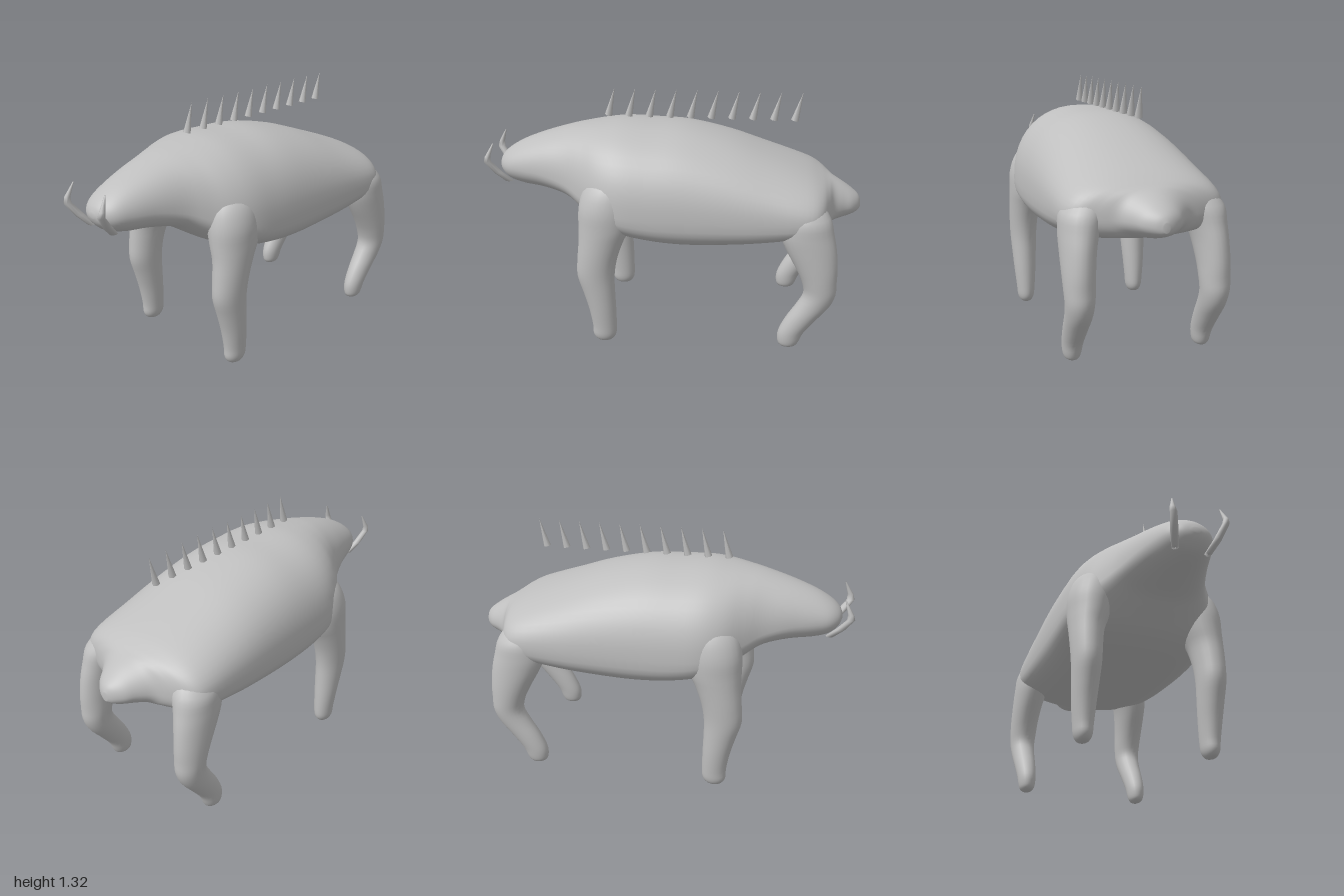
import * as THREE from 'three';

// Smoothly interpolates each column of a table of stations
function resample(rows, n) {
  const curves = rows[0].map((_, c) => new THREE.SplineCurve(rows.map(r => new THREE.Vector2(r[c], 0))));
  return Array.from({ length: n + 1 }, (_, i) => curves.map(c => c.getPoint(i / n).x));
}

// Closed skin over rings of points, with a centre point at each end
function skin(rings) {
  const n = rings[0].length, pos = [], idx = [];
  rings.forEach(r => r.forEach(p => pos.push(...p)));
  for (let i = 0; i < rings.length - 1; i++) {
    for (let j = 0; j < n; j++) {
      const k = (j + 1) % n, a = i * n + j, b = i * n + k, c = a + n, d = b + n;
      idx.push(a, b, d, a, d, c);
    }
  }
  const centre = r => [0, 1, 2].map(k => r.reduce((s, p) => s + p[k], 0) / n);
  const last = rings.length - 1, start = rings.length * n;
  pos.push(...centre(rings[0]), ...centre(rings[last]));
  for (let j = 0; j < n; j++) {
    const k = (j + 1) % n;
    idx.push(start, k, j, start + 1, last * n + j, last * n + k);
  }
  const g = new THREE.BufferGeometry();
  g.setAttribute('position', new THREE.Float32BufferAttribute(pos, 3));
  g.setIndex(idx);
  g.computeVertexNormals();
  return g;
}

const pow = (v, e) => Math.sign(v) * Math.abs(v) ** (2 / e);

// Body ring: separate upper and lower superellipse halves
function bodyRing([z, top, bottom, mid, w, e]) {
  return Array.from({ length: 48 }, (_, j) => {
    const a = j / 48 * Math.PI * 2, s = Math.sin(a);
    const ex = s >= 0 ? Math.min(e, 2.25) : e;
    return [w * pow(Math.cos(a), ex), mid + pow(s, ex) * (s >= 0 ? top - mid : mid - bottom), z];
  });
}

// Level elliptical ring for legs and tusks
function levelRing([y, x, z, rx, rz], n) {
  return Array.from({ length: n }, (_, j) => {
    const a = j / n * Math.PI * 2;
    return [x + rx * Math.sin(a), y, z + rz * Math.cos(a)];
  });
}

export function createModel() {
  const group = new THREE.Group();
  const grey = new THREE.MeshStandardMaterial({ color: 0xbfbfbf });
  grey.name = 'grey hide';
  const add = (geometry, name) => {
    const mesh = new THREE.Mesh(geometry, grey);
    mesh.name = name;
    group.add(mesh);
    return mesh;
  };

  // Body from tail to snout: z, top, bottom, widest height, half width, squareness
  const body = [
    [-1.0, 0.75, 0.705, 0.725, 0.015, 2],
    [-0.985, 0.78, 0.69, 0.73, 0.05, 2],
    [-0.95, 0.81, 0.675, 0.735, 0.093, 2],
    [-0.9, 0.843, 0.66, 0.74, 0.13, 2],
    [-0.85, 0.87, 0.652, 0.74, 0.18, 2.1],
    [-0.82, 0.885, 0.645, 0.745, 0.26, 2.3],
    [-0.78, 0.907, 0.637, 0.75, 0.355, 2.5],
    [-0.7, 0.945, 0.622, 0.75, 0.4, 2.8],
    [-0.5, 1.02, 0.588, 0.75, 0.412, 3],
    [-0.3, 1.09, 0.565, 0.75, 0.417, 3],
    [-0.08, 1.14, 0.555, 0.75, 0.42, 3],
    [0.1, 1.15, 0.572, 0.75, 0.42, 3],
    [0.25, 1.155, 0.6, 0.76, 0.41, 2.8],
    [0.36, 1.145, 0.64, 0.78, 0.37, 2.6],
    [0.46, 1.13, 0.7, 0.82, 0.295, 2.3],
    [0.55, 1.112, 0.752, 0.86, 0.237, 2.2],
    [0.68, 1.075, 0.777, 0.89, 0.188, 2.1],
    [0.8, 1.03, 0.787, 0.895, 0.15, 2],
    [0.88, 0.985, 0.81, 0.895, 0.117, 2],
    [0.925, 0.945, 0.85, 0.895, 0.07, 2],
    [0.942, 0.91, 0.885, 0.897, 0.018, 2],
  ];
  add(skin(resample(body, 80).map(bodyRing)), 'body');

  // Legs from foot to shoulder: y, x, z, x radius, z radius
  const frontLeg = [
    [0.004, 0.335, 0.342, 0.012, 0.015],
    [0.015, 0.335, 0.341, 0.031, 0.043],
    [0.045, 0.335, 0.34, 0.045, 0.062],
    [0.1, 0.335, 0.339, 0.051, 0.065],
    [0.2, 0.336, 0.348, 0.06, 0.073],
    [0.3, 0.336, 0.363, 0.067, 0.085],
    [0.4, 0.336, 0.377, 0.073, 0.099],
    [0.5, 0.335, 0.367, 0.079, 0.105],
    [0.6, 0.329, 0.345, 0.088, 0.118],
    [0.68, 0.315, 0.325, 0.104, 0.138],
    [0.78, 0.3, 0.315, 0.117, 0.145],
    [0.88, 0.275, 0.3, 0.11, 0.13],
    [0.96, 0.24, 0.28, 0.07, 0.08],
  ];
  const hindLeg = [
    [0.026, 0.335, -0.645, 0.012, 0.018],
    [0.038, 0.335, -0.645, 0.033, 0.044],
    [0.065, 0.335, -0.647, 0.044, 0.058],
    [0.12, 0.335, -0.66, 0.051, 0.068],
    [0.2, 0.335, -0.708, 0.058, 0.08],
    [0.28, 0.335, -0.763, 0.064, 0.086],
    [0.35, 0.336, -0.793, 0.069, 0.083],
    [0.42, 0.336, -0.787, 0.074, 0.09],
    [0.5, 0.335, -0.768, 0.078, 0.108],
    [0.6, 0.329, -0.735, 0.085, 0.13],
    [0.68, 0.318, -0.71, 0.095, 0.138],
    [0.76, 0.3, -0.7, 0.105, 0.128],
    [0.83, 0.265, -0.68, 0.09, 0.1],
  ];
  // Tusks curve outward and then up to a point
  const tusk = [
    [0.815, 0.085, 0.885, 0.018, 0.022],
    [0.87, 0.112, 0.935, 0.02, 0.024],
    [0.935, 0.134, 0.982, 0.018, 0.02],
    [0.965, 0.138, 0.978, 0.014, 0.015],
    [1.035, 0.125, 0.948, 0.003, 0.003],
  ];
  for (const side of [1, -1]) {
    const name = side > 0 ? 'left' : 'right';
    const mirror = ([y, x, z, rx, rz]) => [y, x * side, z, rx, rz];
    const limb = rows => skin(resample(rows, 40).map(r => levelRing(mirror(r), 24)));
    add(limb(frontLeg), name + 'FrontLeg');
    add(limb(hindLeg), name + 'HindLeg');
    add(skin(tusk.map(r => levelRing(mirror(r), 8))), name + 'Tusk');
  }

  // Row of spines hovering above the back, leaning backward
  const cone = new THREE.ConeGeometry(0.02, 0.155, 6);
  for (let i = 0; i < 10; i++) {
    const spine = add(cone, 'spine' + (i + 1));
    spine.position.set(0, 1.25, 0.327 - i * 0.1085);
    spine.rotation.x = -0.24;
  }
  return group;
}
